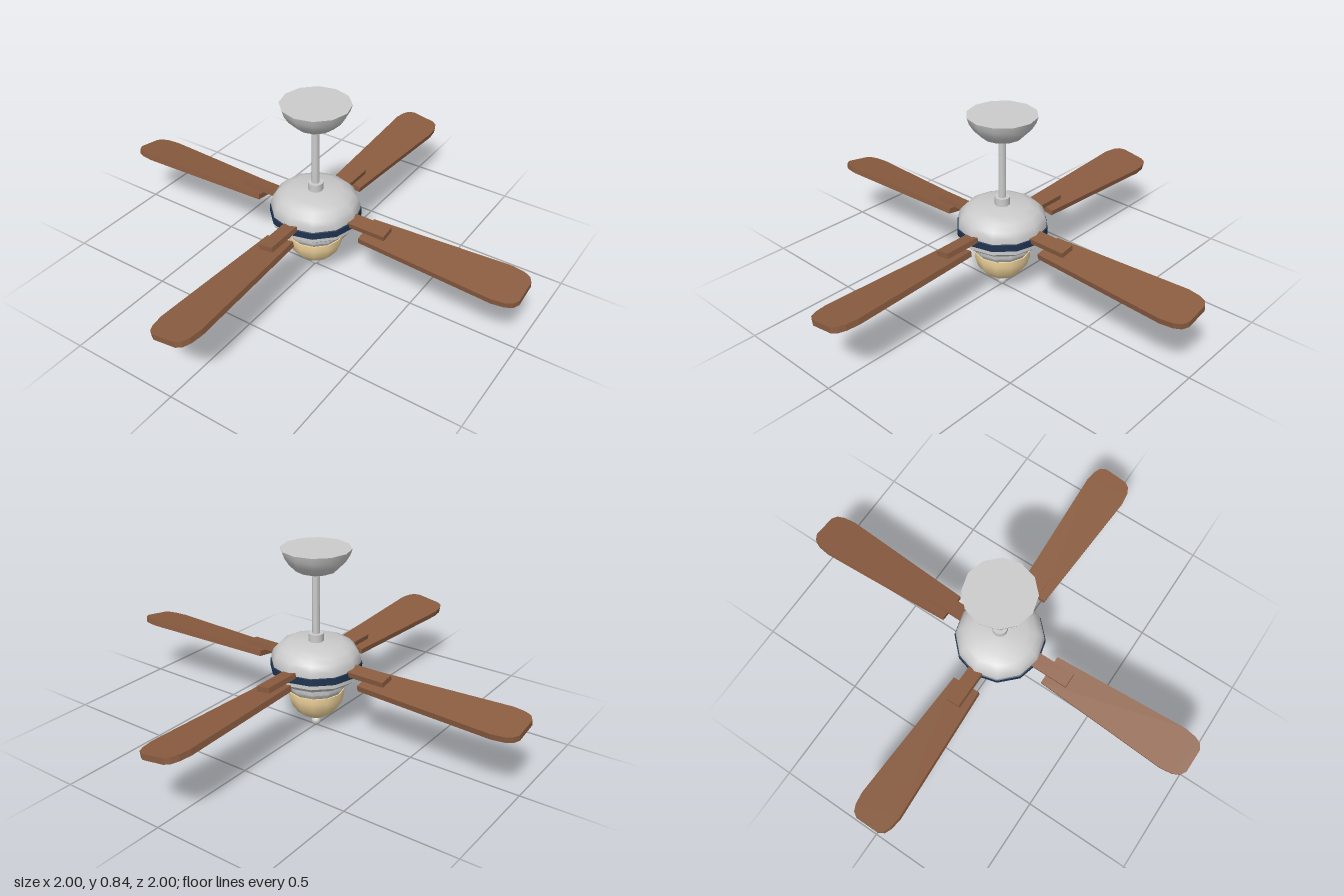
import * as THREE from 'three';
import { toCreasedNormals } from 'three/addons/utils/BufferGeometryUtils.js';

const material = (color) => new THREE.MeshStandardMaterial({ color });
const metal = material(0xcccccc);
const navy = material(0x1f3350);
const glass = material(0xf0d49c);
const wood = material(0x8a5c40);

// Turned part: profile of [radius, y] from bottom to top
function turned(name, profile, mat, sides = 12) {
  const points = profile.map(([r, y]) => new THREE.Vector2(r, y));
  const geometry = toCreasedNormals(new THREE.LatheGeometry(points, sides), 0.65);
  const mesh = new THREE.Mesh(geometry, mat);
  mesh.name = name;
  return mesh;
}

// Tapered board with a clipped, rounded tip, lying along +x
function bladeGeometry(thickness) {
  const edge = [[0.265, 0.068], [0.9, 0.102], [0.955, 0.094], [0.985, 0.08], [1, 0.055]];
  const outline = [...edge, ...edge.map(([x, w]) => [x, -w]).reverse()];
  const shape = new THREE.Shape(outline.map(([x, w]) => new THREE.Vector2(x, w)));
  const geometry = new THREE.ExtrudeGeometry(shape, { depth: thickness, bevelEnabled: false });
  geometry.translate(0, 0, -thickness / 2);
  geometry.rotateX(-Math.PI / 2);
  return geometry;
}

export function createModel() {
  const fan = new THREE.Group();
  fan.name = 'ceilingFan';

  // Ceiling mount and down rod
  fan.add(
    turned('canopy', [[0, 0.727], [0.05, 0.73], [0.09, 0.745], [0.125, 0.78], [0.145, 0.812], [0.154, 0.84], [0, 0.84]], metal),
    turned('downRod', [[0.017, 0.4], [0.017, 0.74]], metal),
    turned('rodCollar', [[0.034, 0.4], [0.034, 0.453], [0, 0.453]], metal),
  );

  // Motor housing
  fan.add(
    turned('upperHousing', [[0.2, 0.32], [0.199, 0.345], [0.188, 0.372], [0.163, 0.398], [0.122, 0.415], [0, 0.418]], metal),
    turned('housingBand', [[0.19, 0.282], [0.205, 0.29], [0.205, 0.32], [0.19, 0.327]], navy),
    turned('lowerHousing', [[0, 0.243], [0.165, 0.243], [0.199, 0.27], [0.199, 0.288]], metal),
  );

  // Light
  fan.add(
    turned('lightFitter', [[0, 0.185], [0.12, 0.185], [0.138, 0.21], [0.138, 0.245]], metal),
    turned('lampGlobe', [[0, 0.05], [0.045, 0.054], [0.085, 0.08], [0.114, 0.118], [0.127, 0.16], [0.127, 0.187], [0, 0.187]], glass),
    turned('finialStem', [[0.009, 0.03], [0.009, 0.055]], metal, 8),
  );
  const finial = new THREE.Mesh(new THREE.SphereGeometry(0.021, 12, 8), metal);
  finial.name = 'finial';
  finial.position.y = 0.025;
  finial.geometry.translate(0, -0.004, 0);
  fan.add(finial);

  // Four pitched blades on bracket arms
  const boardGeometry = bladeGeometry(0.026);
  const armGeometry = new THREE.BoxGeometry(0.21, 0.024, 0.068);
  for (let i = 0; i < 4; i++) {
    const assembly = new THREE.Group();
    assembly.name = `bladeAssembly${i + 1}`;
    assembly.rotation.y = i * Math.PI / 2;

    const blade = new THREE.Mesh(boardGeometry, wood);
    blade.name = 'blade';
    blade.position.y = 0.296;
    const arm = new THREE.Mesh(armGeometry, wood);
    arm.name = 'bladeArm';
    arm.position.set(0.265, 0.322, 0);
    blade.rotation.x = arm.rotation.x = 0.165;

    assembly.add(blade, arm);
    fan.add(assembly);
  }
  return fan;
}
